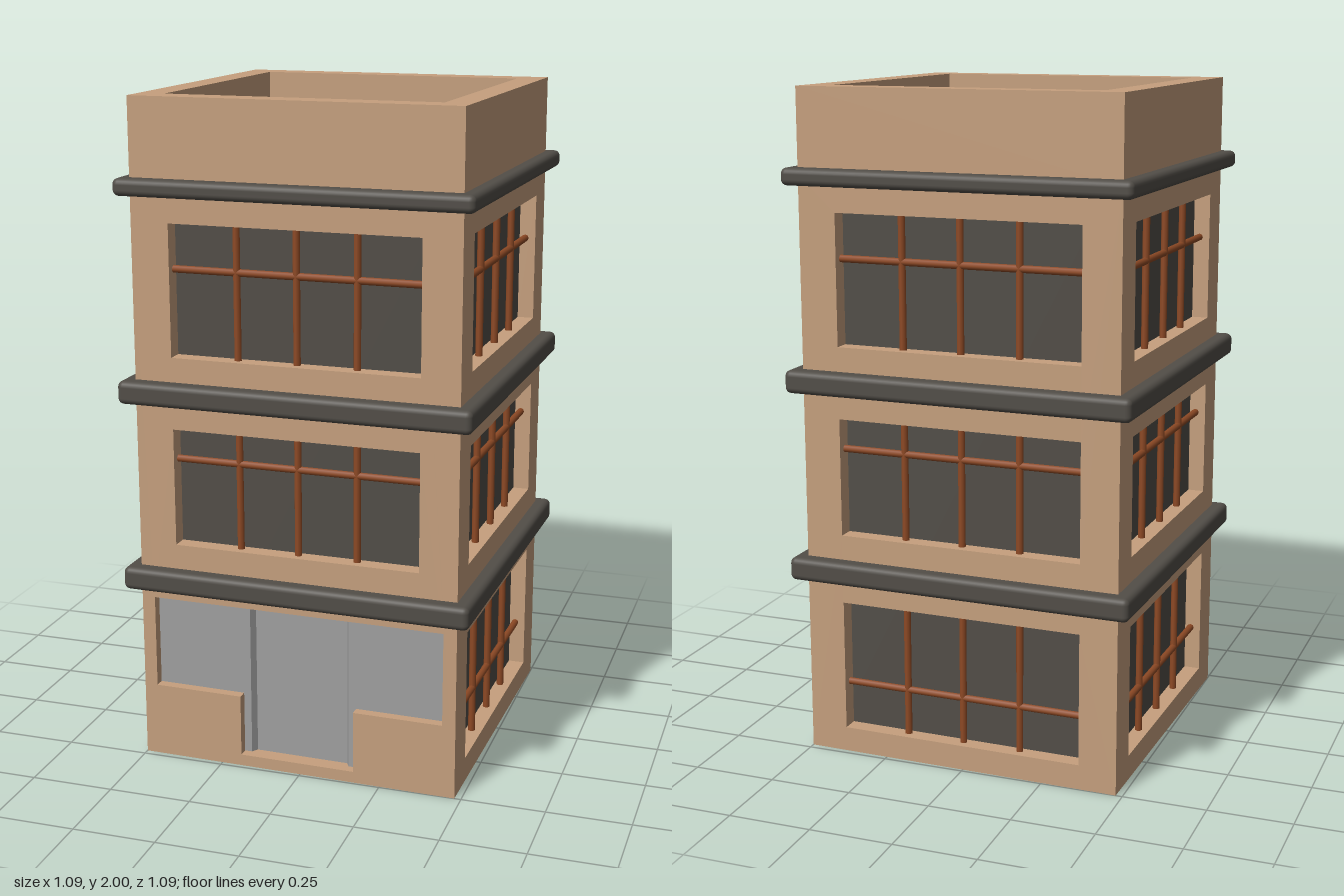
import * as THREE from 'three';
import { RoundedBoxGeometry } from 'three/addons/geometries/RoundedBoxGeometry.js';

const material = (name, color, flatShading = false) => {
  const m = new THREE.MeshStandardMaterial({ color, flatShading });
  m.name = name;
  return m;
};

// Closed outline, or hole, from a list of corner points
const points = (list) => list.map(([x, y]) => new THREE.Vector2(x, y));
const rect = (x0, y0, x1, y1) => points([[x0, y0], [x1, y0], [x1, y1], [x0, y1]]);

const HALF = 0.49;      // half width of the tower
const CORE = 0.44;      // plane of the glass
const WALL_TOP = 1.75;  // hidden behind the top ledge

// Each window: bottom, top and height of its cross bar
const WINDOWS = [[0.075, 0.475, 0.215], [0.685, 1.04, 0.945], [1.255, 1.645, 1.51]];
const WIN_HALF = 0.375;

export function createModel() {
  const tan = material('tan plaster', 0xc6a07e);
  const dark = material('dark grey', 0x524e48);
  const rust = material('rust brown', 0x8f4a25);
  const grey = material('light grey', 0xa0a0a0);

  const model = new THREE.Group();
  model.name = 'tower';
  const building = new THREE.Group();
  building.name = 'building';
  building.rotation.y = -0.02;
  model.add(building);

  const add = (parent, name, geometry, mat, x = 0, y = 0, z = 0) => {
    const mesh = new THREE.Mesh(geometry, mat);
    mesh.name = name;
    mesh.position.set(x, y, z);
    parent.add(mesh);
    return mesh;
  };
  const extrude = (shape, depth) =>
    new THREE.ExtrudeGeometry(shape, { depth, bevelEnabled: false });

  // Dark core shows through the openings as glass
  add(building, 'glassCore', new THREE.BoxGeometry(2 * CORE, WALL_TOP - 0.03, 2 * CORE), dark,
    0, (WALL_TOP + 0.03) / 2, 0);
  add(building, 'baseSlab', new THREE.BoxGeometry(2 * CORE, 0.03, 2 * CORE), tan, 0, 0.015, 0);

  // Four walls with recessed openings and window bars
  ['front', 'left', 'back', 'right'].forEach((side, k) => {
    const facade = new THREE.Group();
    facade.name = side + 'Facade';
    facade.rotation.y = k * Math.PI / 2;
    building.add(facade);

    const w = k % 2 ? CORE : HALF;
    const wall = new THREE.Shape(rect(-w, 0, w, WALL_TOP));
    const windows = k === 0 ? WINDOWS.slice(1) : WINDOWS;
    if (k === 0) {
      // T-shaped entrance opening
      wall.holes.push(new THREE.Path(points([
        [-0.178, 0.035], [0.178, 0.035], [0.178, 0.225], [0.45, 0.225],
        [0.45, 0.51], [-0.45, 0.51], [-0.45, 0.225], [-0.178, 0.225]])));
    }
    for (const [bottom, top, bar] of windows) {
      wall.holes.push(new THREE.Path(rect(-WIN_HALF, bottom, WIN_HALF, top)));
      const barZ = CORE + 0.018;
      for (const x of [-0.18, 0, 0.18]) {
        add(facade, 'verticalBar', new THREE.CylinderGeometry(0.011, 0.011, top - bottom, 8), rust,
          x, (top + bottom) / 2, barZ);
      }
      add(facade, 'crossBar', new THREE.CylinderGeometry(0.011, 0.011, 2 * WIN_HALF, 8), rust,
        0, bar, barZ).rotation.z = Math.PI / 2;
    }
    add(facade, side + 'Wall', extrude(wall, HALF - CORE), tan, 0, 0, CORE);
  });

  // Entrance panels, stepping back at the door
  const plan = new THREE.Shape(points([
    [-0.46, -0.43], [-0.46, -0.46], [-0.155, -0.46], [-0.143, -0.442],
    [0.143, -0.442], [0.155, -0.46], [0.46, -0.46], [0.46, -0.43]]));
  const entrance = extrude(plan, 0.49);
  entrance.rotateX(-Math.PI / 2);
  add(building, 'entrance', entrance, grey, 0, 0.03, 0);

  // Rounded ledges around each floor
  for (const [bottom, top, half] of [[0.54, 0.61, 0.533], [1.113, 1.182, 0.533], [1.72, 1.771, 0.53]]) {
    add(building, 'ledge', new RoundedBoxGeometry(2 * half, top - bottom, 2 * half, 3, 0.018), dark,
      0, (bottom + top) / 2, 0);
  }

  // Parapet, sunken roof and roof unit
  const ring = new THREE.Shape(rect(-HALF, -HALF, HALF, HALF));
  ring.holes.push(new THREE.Path(rect(-0.41, -0.41, 0.41, 0.41)));
  const parapet = extrude(ring, 2 - WALL_TOP);
  parapet.rotateX(-Math.PI / 2);
  add(building, 'parapet', parapet, tan, 0, WALL_TOP, 0);
  add(building, 'roof', new THREE.BoxGeometry(0.82, 0.115, 0.82), tan, 0, 1.8075, 0);
  add(building, 'roofUnit', new THREE.BoxGeometry(0.216, 0.075, 0.216), dark, -0.166, 1.9, 0.224);

  return model;
}
